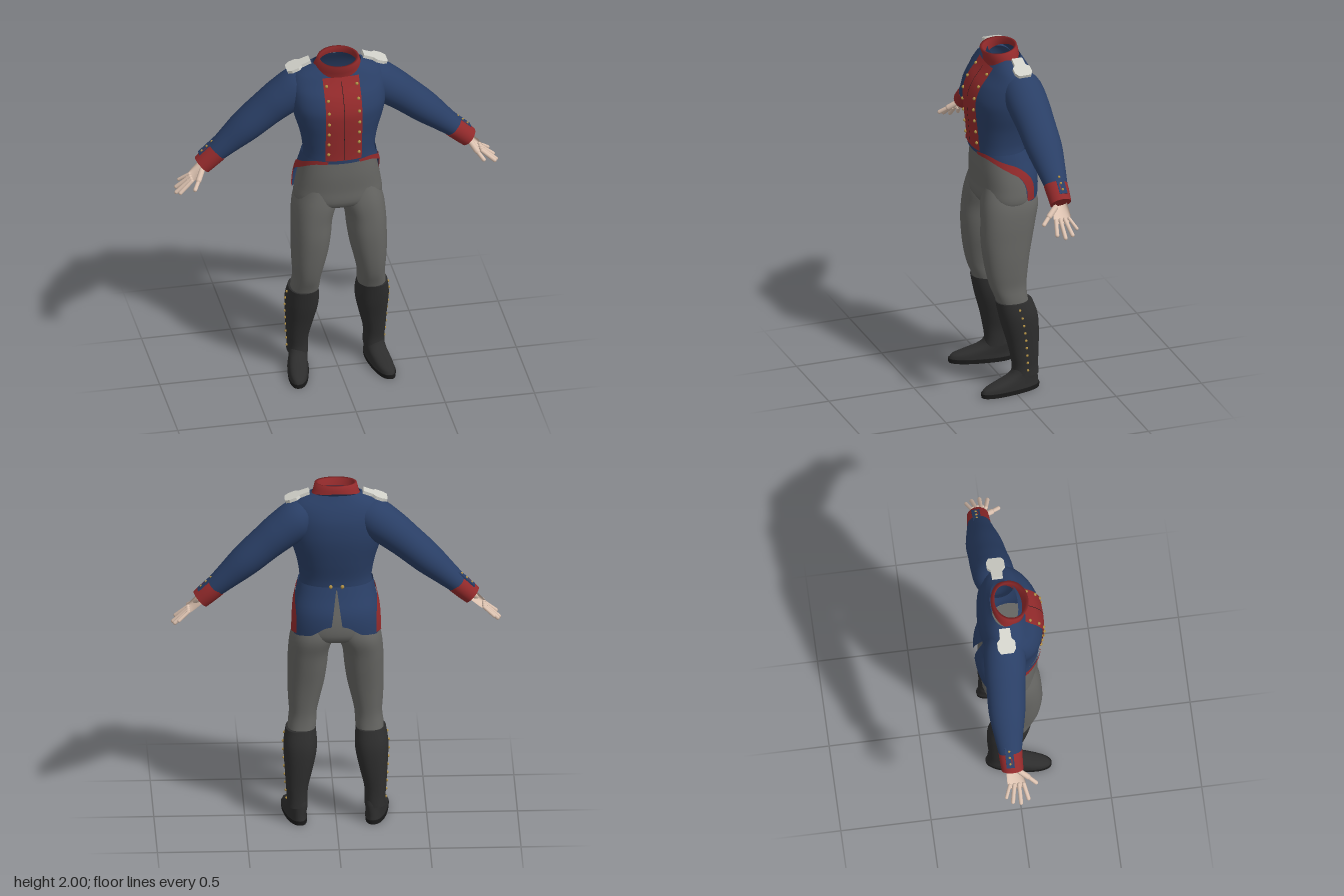
import * as THREE from 'three';
import { mergeGeometries, mergeVertices } from 'three/addons/utils/BufferGeometryUtils.js';

const V = (x, y, z) => new THREE.Vector3(x, y, z);
const rad = THREE.MathUtils.degToRad;

// Smooth interpolation of a table whose first column is the key
function sample(rows, k) {
  const dir = Math.sign(rows[1][0] - rows[0][0]);
  let i = 0;
  while (i < rows.length - 2 && (k - rows[i + 1][0]) * dir > 0) i++;
  const a = rows[i], b = rows[i + 1], p = rows[i - 1] ?? a, n = rows[i + 2] ?? b;
  const d = b[0] - a[0], t = THREE.MathUtils.clamp((k - a[0]) / d, 0, 1);
  return a.map((va, c) => {
    const m0 = (b[c] - p[c]) / (b[0] - p[0]) * d, m1 = (n[c] - va) / (n[0] - a[0]) * d;
    const t2 = t * t, t3 = t2 * t;
    return (2 * t3 - 3 * t2 + 1) * va + (t3 - 2 * t2 + t) * m0 + (3 * t2 - 2 * t3) * b[c] + (t3 - t2) * m1;
  });
}

// Point on a body section; rows are [y, centreX, frontZ, backZ, halfWidth], angle 0 faces front
function surf(rows, deg, y, off = 0, p = 2.3) {
  const [, cx, f, b, rx] = sample(rows, y), a = rad(deg);
  const pw = (v) => Math.sign(v) * Math.abs(v) ** (2 / p);
  return V(cx + (rx + off) * pw(Math.sin(a)), y, (f + b) / 2 + ((f - b) / 2 + off) * pw(Math.cos(a)));
}

// Skin over closed rings of points, optionally capped at start and end
function loft(rings, capStart, capEnd) {
  const n = rings[0].length, pos = [], idx = [];
  rings.forEach((r) => r.forEach((q) => pos.push(q.x, q.y, q.z)));
  for (let i = 0; i < rings.length - 1; i++) for (let j = 0; j < n; j++) {
    const a = i * n + j, b = i * n + (j + 1) % n;
    idx.push(a, b, b + n, a, b + n, a + n);
  }
  const cap = (r, flip) => {
    const s = pos.length / 3, c = r.reduce((m, q) => m.add(q), V(0, 0, 0)).divideScalar(n);
    [...r, c].forEach((q) => pos.push(q.x, q.y, q.z));
    for (let j = 0; j < n; j++) {
      const k = (j + 1) % n;
      idx.push(s + n, s + (flip ? k : j), s + (flip ? j : k));
    }
  };
  if (capStart) cap(rings[0], true);
  if (capEnd) cap(rings.at(-1), false);
  return build(pos, idx);
}

function build(pos, idx) {
  const g = new THREE.BufferGeometry();
  g.setAttribute('position', new THREE.Float32BufferAttribute(pos, 3));
  g.setIndex(idx);
  g.computeVertexNormals();
  return g;
}

const ring = (fn, n = 40) => Array.from({ length: n }, (_, j) => fn(j / n * 360));
const oval = (c, u, v, n) => ring((d) => c.clone().addScaledVector(u, Math.cos(rad(d))).addScaledVector(v, Math.sin(rad(d))), n);

function body(rows, steps, c0, c1) {
  const y0 = rows[0][0], y1 = rows.at(-1)[0];
  return loft(Array.from({ length: steps + 1 }, (_, i) => ring((d) => surf(rows, d, y0 + (y1 - y0) * i / steps))), c0, c1);
}

// Limb running outward; rows are [x, y, z, thickness, depth]
function limb(rows, steps, c0, c1) {
  const x0 = rows[0][0], x1 = rows.at(-1)[0];
  return loft(Array.from({ length: steps + 1 }, (_, i) => {
    const x = x0 + (x1 - x0) * i / steps, s = sample(rows, x);
    const d = V(0.02, sample(rows, x + 0.01)[1] - sample(rows, x - 0.01)[1], 0);
    if (i === 0 || i === steps) d.x = 0.01;
    d.normalize();
    return oval(V(x, s[1], s[2]), V(0, 0, s[4]), V(d.y, -d.x, 0).multiplyScalar(-s[3]), 28);
  }), c0, c1);
}

// Open sheet from fn(s across, t up)
function sheet(fn, ns, nt) {
  const pos = [], idx = [], w = ns + 1;
  for (let j = 0; j <= nt; j++) for (let i = 0; i <= ns; i++) pos.push(...fn(i / ns, j / nt).toArray());
  for (let j = 0; j < nt; j++) for (let i = 0; i < ns; i++) {
    const a = j * w + i;
    idx.push(a, a + 1, a + w + 1, a, a + w + 1, a + w);
  }
  return build(pos, idx);
}

const studs = (points, r) => mergeGeometries(points.map((p) => new THREE.SphereGeometry(r, 8, 6).translate(p.x, p.y, p.z)));

function finger(a, b, r) {
  const d = b.clone().sub(a), q = new THREE.Quaternion().setFromUnitVectors(V(0, 1, 0), d.clone().normalize());
  const m = a.clone().add(b).multiplyScalar(0.5);
  return new THREE.CapsuleGeometry(r, d.length() - r, 4, 10).deleteAttribute('uv').applyQuaternion(q).translate(m.x, m.y, m.z);
}

export function createModel() {
  const root = new THREE.Group();
  root.name = 'uniform';
  const mat = (name, color, side = THREE.FrontSide) => Object.assign(new THREE.MeshStandardMaterial({ color, side }), { name });
  const blue = mat('coatBlue', 0x2a3f66, THREE.DoubleSide), red = mat('facingRed', 0x932a2b, THREE.DoubleSide);
  const grey = mat('breechesGrey', 0x656562), black = mat('gaiterBlack', 0x2d2d2d), dark = mat('soleBlack', 0x1b1b1b);
  const skin = mat('skin', 0xdcc2b0), white = mat('strapWhite', 0xd2d2ca), gold = mat('buttonGold', 0xb08f45);

  const add = (name, geo, m) => {
    const mesh = new THREE.Mesh(geo, m);
    mesh.name = name;
    root.add(mesh);
  };
  // Adds a left part and its mirrored right twin
  const pair = (name, geo, m) => {
    const left = geo.index ? geo : mergeVertices(geo), right = left.clone().scale(-1, 1, 1), ix = right.index;
    for (let i = 0; i < ix.count; i += 3) {
      const t = ix.getX(i);
      ix.setX(i, ix.getX(i + 1));
      ix.setX(i + 1, t);
    }
    add(name + 'Left', left, m);
    add(name + 'Right', right, m);
  };

  // Coat body
  const torso = [[1.39, 0, .16, -.127, .2], [1.45, 0, .162, -.132, .2], [1.55, 0, .17, -.155, .218], [1.65, 0, .178, -.174, .248],
    [1.72, 0, .176, -.18, .262], [1.8, 0, .145, -.174, .265], [1.86, 0, .1, -.155, .258], [1.9, 0, .074, -.135, .228],
    [1.925, 0, .058, -.12, .18], [1.947, 0, .045, -.108, .135]];
  add('coatBody', body(torso, 36), blue);

  // Standing collar with a rolled inner wall
  const collar = [[1.92, -.012, .035, .092, .138], [1.95, -.008, .024, .094, .126], [1.987, .004, .012, .1, .116],
    [1.985, .002, .012, .086, .102], [1.93, -.012, .03, .078, .11]];
  add('collar', loft(collar.map(([y, z, tilt, rz, rx]) => oval(V(0, y, z), V(0, -tilt, rz), V(rx, 0, 0), 40))), red);

  // Breast facing with two rows of buttons
  const onChest = (x, y, off) => {
    const [, , f, b, rx] = sample(torso, y), h = (f - b) / 2;
    return V(x, y, (f + b) / 2 + h * (1 - Math.abs(x / rx) ** 2.3) ** (1 / 2.3) + off);
  };
  add('breastFacing', sheet((s, t) => onChest(-.102 + .204 * s, 1.415 + .485 * t, .007), 12, 30), red);
  add('breastSeam', sheet((s, t) => onChest(-.0015 + .003 * s, 1.42 + .46 * t, .009), 1, 30), dark);
  const rows = [0, 1, 2, 3, 4, 5, 6];
  add('breastButtons', studs(rows.flatMap((i) => [-.085, .085].map((x) => onChest(x, 1.46 + i * .067, .009))), .0095), gold);
  add('backButtons', studs([V(-.032, 1.415, -.133), V(.032, 1.415, -.133)], .011), gold);

  // Coat tails, cut away at the front and slit at the back
  const skirt = [[1.42, 0, .165, -.13, .203], [1.35, 0, .163, -.155, .217], [1.27, 0, .16, -.188, .236],
    [1.2, 0, .16, -.196, .246], [1.13, 0, .16, -.192, .25]];
  const hem = [[22, 1.395], [45, 1.385], [70, 1.345], [92, 1.29], [103, 1.22], [107, 1.14], [148, 1.14], [160, 1.165], [170, 1.19], [180, 1.2]];
  pair('coatTail', sheet((s, t) => {
    const deg = 22 + 158 * s, y = THREE.MathUtils.lerp(sample(hem, deg)[1], 1.412, t);
    return surf(skirt, deg - 5 * (1 - t) * s ** 8, y, .002);
  }, 60, 10), blue);
  const outer = [[0, 22, 1.395], [1, 45, 1.385], [2, 70, 1.345], [3, 92, 1.29], [4, 103, 1.22], [5, 106, 1.138]];
  const inner = [[0, 20, 1.412], [1, 45, 1.411], [2, 70, 1.382], [3, 98, 1.335], [4, 118, 1.25], [5, 123, 1.138]];
  pair('tailTurnback', sheet((s, t) => {
    const a = sample(outer, s * 5), b = sample(inner, s * 5);
    return surf(skirt, THREE.MathUtils.lerp(a[1], b[1], t), THREE.MathUtils.lerp(a[2], b[2], t), .007);
  }, 40, 4), red);

  // Sleeves and cuffs
  pair('sleeve', limb([[.14, 1.83, -.05, .08, .09], [.2, 1.8, -.055, .11, .113], [.3, 1.73, -.063, .106, .115], [.38, 1.665, -.07, .098, .108],
    [.5, 1.56, -.078, .088, .1], [.6, 1.47, -.082, .07, .079], [.69, 1.388, -.083, .054, .06]], 26), blue);
  pair('cuff', limb([[.66, 1.413, -.082, .06, .066], [.7, 1.378, -.082, .059, .064], [.748, 1.335, -.08, .055, .06]], 6, true, true), red);
  const slope = -.75;
  pair('cuffFlap', new THREE.BoxGeometry(.125, .009, .045).rotateZ(slope).translate(.714, 1.439, -.092), blue);
  pair('cuffButtons', studs([-.038, 0, .038].map((d) => V(.717 + d * Math.cos(slope), 1.442 + d * Math.sin(slope), -.092)), .0075), gold);

  // Hands
  const tips = [[.885, 1.205, -.008], [.9, 1.188, -.052], [.892, 1.196, -.097], [.87, 1.222, -.131]];
  pair('hand', mergeGeometries([
    limb([[.725, 1.354, -.078, .03, .036], [.765, 1.316, -.073, .025, .043], [.805, 1.276, -.066, .019, .05], [.828, 1.254, -.064, .009, .042]], 10, true, true),
    ...tips.map(([x, y, z], i) => finger(V(.81, 1.27, -.028 - i * .025), V(x, y, z), i === 3 ? .0095 : .0115)),
    finger(V(.75, 1.322, -.052), V(.785, 1.278, .006), .016),
    finger(V(.778, 1.286, -.004), V(.812, 1.247, .046), .0115),
  ]), skin);

  // Shoulder straps
  const strap = new THREE.Shape([[0, -.03], [.055, -.032], [.075, -.05], [.115, -.05], [.14, -.035], [.14, .035], [.115, .05],
    [.075, .05], [.055, .032], [0, .03]].map(([x, y]) => new THREE.Vector2(x, y)));
  pair('shoulderStrap', new THREE.ExtrudeGeometry(strap, { depth: .018, bevelEnabled: false })
    .rotateX(-Math.PI / 2).rotateZ(-.36).translate(.145, 1.948, -.048), white);

  // Breeches
  add('breechesSeat', body([[1.06, 0, .06, -.09, .12], [1.085, 0, .12, -.145, .215], [1.12, 0, .147, -.17, .244], [1.2, 0, .148, -.168, .238],
    [1.3, 0, .15, -.143, .218], [1.42, 0, .142, -.112, .19]], 20, true, true), grey);
  pair('breechesLeg', body([[.5, .19, .07, -.1, .075], [.56, .185, .092, -.09, .078], [.62, .18, .117, -.087, .076], [.7, .174, .137, -.095, .087],
    [.8, .164, .152, -.11, .101], [.9, .156, .16, -.13, .108], [1, .149, .157, -.15, .112], [1.1, .128, .15, -.172, .12],
    [1.2, .11, .13, -.15, .1]], 30), grey);

  // Gaiters with side buttons
  const gaiter = [[.095, .215, .008, -.148, .058], [.14, .214, .002, -.145, .057], [.2, .215, .01, -.145, .061], [.3, .206, .032, -.15, .076],
    [.4, .198, .06, -.15, .09], [.46, .196, .074, -.142, .092], [.535, .193, .09, -.115, .083]];
  pair('gaiter', body(gaiter, 20, true, true), black);
  pair('gaiterButtons', studs(Array.from({ length: 9 }, (_, i) => surf(gaiter, 88, .13 + i * .0465, .002)), .0075), gold);

  // Shoes, toes turned out
  const turnOut = (g) => {
    const p = g.attributes.position;
    for (let i = 0; i < p.count; i++) p.setX(i, p.getX(i) + .16 * (p.getZ(i) - .02));
    g.computeVertexNormals();
    return g;
  };
  pair('shoe', turnOut(body([[.022, .228, .196, -.155, .056], [.045, .228, .18, -.152, .055], [.065, .227, .125, -.15, .054],
    [.085, .226, .06, -.148, .053], [.105, .226, .02, -.146, .053], [.13, .226, 0, -.14, .05]], 14)), black);
  pair('sole', turnOut(body([[0, .228, .198, -.158, .058], [.024, .228, .2, -.16, .06]], 1, true, true)), dark);

  return root;
}
